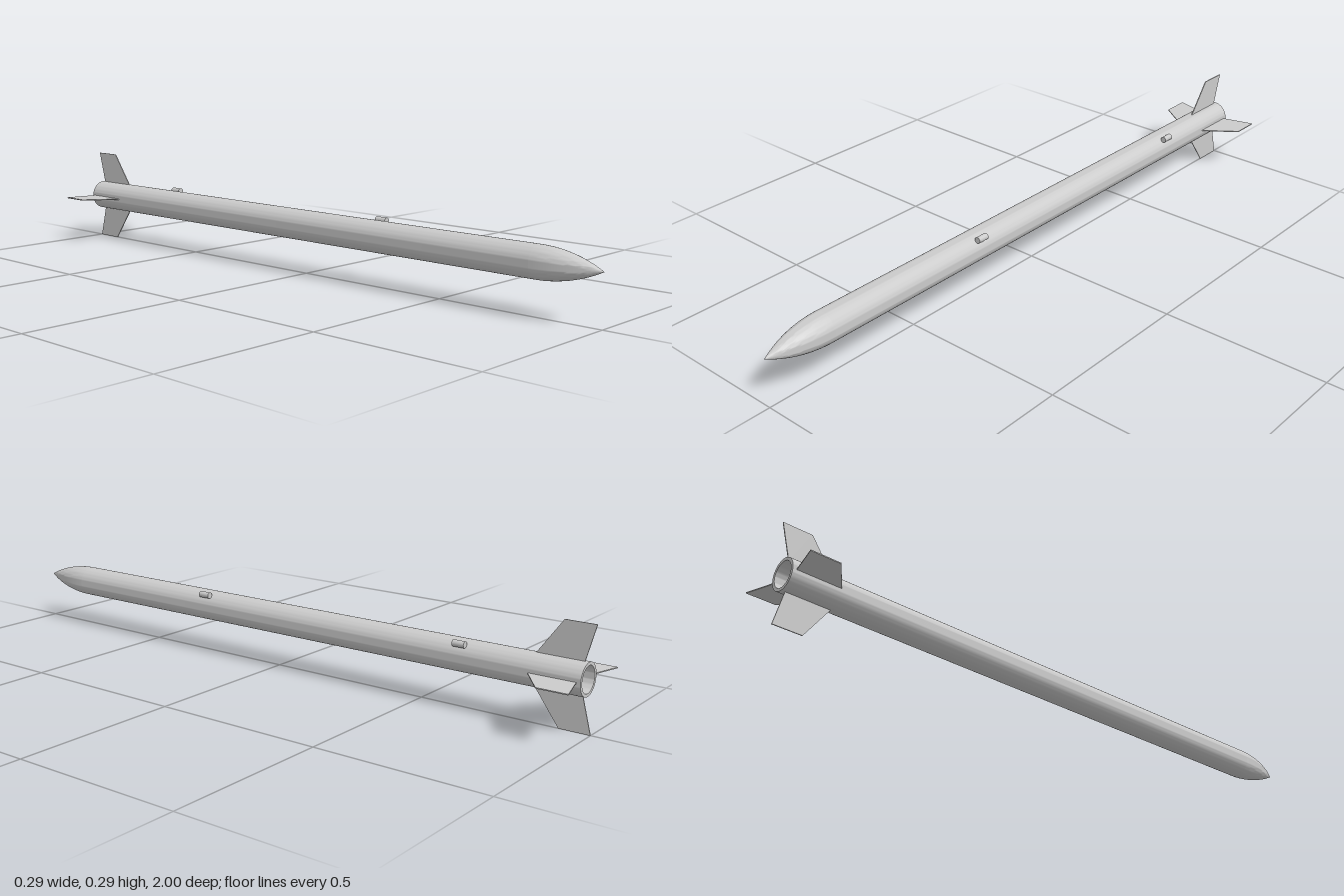
import * as THREE from 'three';
import { toCreasedNormals } from 'three/addons/utils/BufferGeometryUtils.js';

const R = 0.046;        // body radius
const BORE = 0.037;     // rear opening radius
const AXIS_Y = 0.145;   // height of the rocket axis
const TAIL = -0.985, SHOULDER = 0.81, TIP = 1;

const material = new THREE.MeshStandardMaterial({ color: 0xcccccc });

function addMesh(parent, name, geometry) {
  const mesh = new THREE.Mesh(geometry, material);
  mesh.name = name;
  parent.add(mesh);
  return mesh;
}

// Revolve [radius, z] points about the z axis, keeping sharp rims
function revolve(points) {
  const profile = points.map(([r, z]) => new THREE.Vector2(r, z));
  const geometry = new THREE.LatheGeometry(profile, 64).rotateX(Math.PI / 2);
  return toCreasedNormals(geometry, Math.PI / 6);
}

export function createModel() {
  const model = new THREE.Group();
  model.name = 'modelRocket';
  const rocket = new THREE.Group();
  rocket.name = 'rocket';
  rocket.position.y = AXIS_Y;
  model.add(rocket);

  // Hollow body tube: inner wall, rear rim, outer wall
  addMesh(rocket, 'bodyTube', revolve([
    [0, SHOULDER], [BORE, SHOULDER], [BORE, TAIL], [R, TAIL], [R, SHOULDER],
  ]));

  // Tangent ogive nose cone
  const length = TIP - SHOULDER;
  const rho = (R * R + length * length) / (2 * R);
  const nose = [];
  for (let i = 0; i <= 20; i++) {
    const d = length * i / 20;
    const r = Math.sqrt(rho * rho - d * d) + R - rho;
    nose.push([Math.max(0, r), SHOULDER + d]);
  }
  addMesh(rocket, 'noseCone', revolve(nose));

  // Four thin swept fins, drawn as (radius, z) outlines
  const thickness = 0.003;
  const outline = new THREE.Shape([
    [R - 0.002, -0.838], [0.145, -0.912], [0.145, -1], [R - 0.002, -0.973],
  ].map(([r, z]) => new THREE.Vector2(r, z)));
  const finGeometry = new THREE.ExtrudeGeometry(outline, { depth: thickness, bevelEnabled: false })
    .translate(0, 0, -thickness / 2)
    .rotateX(Math.PI / 2);
  ['leftFin', 'topFin', 'rightFin', 'bottomFin'].forEach((name, i) => {
    addMesh(rocket, name, finGeometry).rotation.z = i * Math.PI / 2;
  });

  // Launch lugs on the upper left of the body
  const lugGeometry = new THREE.CylinderGeometry(0.0095, 0.0095, 0.036, 24).rotateX(Math.PI / 2);
  [['frontLug', 0.26], ['rearLug', -0.635]].forEach(([name, z]) => {
    addMesh(rocket, name, lugGeometry).position.set(0.0395, 0.0405, z);
  });

  return model;
}
